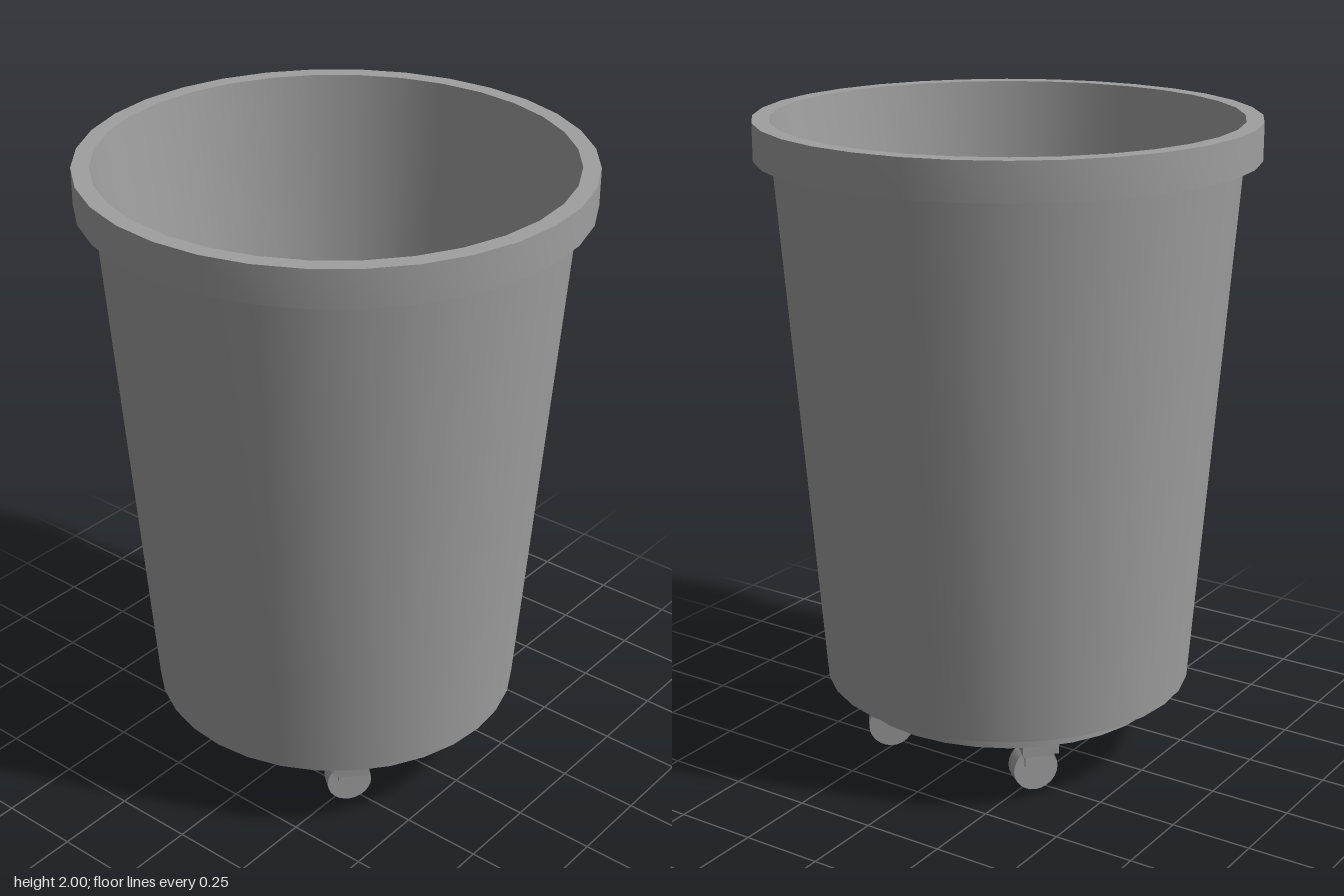
import * as THREE from 'three';
import { toCreasedNormals } from 'three/addons/utils/BufferGeometryUtils.js';

const material = new THREE.MeshStandardMaterial({ color: 0x9f9f9f });

function addMesh(parent, name, geometry, x = 0, y = 0, z = 0) {
  const mesh = new THREE.Mesh(geometry, material);
  mesh.name = name;
  mesh.position.set(x, y, z);
  parent.add(mesh);
}

// One caster; local x is the radial direction of its mounting plate
function createCaster(wheelTurn) {
  const caster = new THREE.Group();
  caster.name = 'caster';
  addMesh(caster, 'mountingPlate', new THREE.BoxGeometry(0.225, 0.035, 0.11), 0, 0.176, 0);
  addMesh(caster, 'swivelPlate', new THREE.BoxGeometry(0.165, 0.022, 0.095), 0, 0.149, 0);

  // Fork and wheel; the axle runs along local z
  const swivel = new THREE.Group();
  swivel.name = 'wheelAssembly';
  swivel.rotation.y = wheelTurn;
  caster.add(swivel);
  addMesh(swivel, 'forkCrown', new THREE.BoxGeometry(0.075, 0.012, 0.08), 0, 0.136, 0);
  for (const side of [-1, 1]) {
    addMesh(swivel, 'forkArm', new THREE.BoxGeometry(0.075, 0.056, 0.012), 0, 0.113, side * 0.034);
  }
  const wheel = new THREE.CylinderGeometry(0.07, 0.07, 0.055, 24).rotateX(Math.PI / 2);
  addMesh(swivel, 'wheel', wheel, 0, 0.07, 0);
  return caster;
}

export function createModel() {
  const model = new THREE.Group();
  model.name = 'wheeledBin';

  // Tapered bin: foot, outer wall, rim band, inner wall and floor
  const profile = [
    [0, 0.19], [0.503, 0.19], [0.503, 0.245], [0.574, 0.245],
    [0.698, 1.887], [0.752, 1.887], [0.752, 2], [0.7, 2],
    [0.48, 0.26], [0, 0.26],
  ].map(([x, y]) => new THREE.Vector2(x, y));
  addMesh(model, 'bin', toCreasedNormals(new THREE.LatheGeometry(profile, 32), 0.5));

  // Four casters with radial plates; all wheels roll nearly the same diagonal way
  for (let i = 0; i < 4; i++) {
    const angle = Math.PI / 4 + (i * Math.PI) / 2;
    const caster = createCaster(i % 2 ? -0.12 : Math.PI / 2 + 0.12);
    caster.position.set(0.27 * Math.SQRT2 * Math.cos(angle), 0, 0.27 * Math.SQRT2 * Math.sin(angle));
    caster.rotation.y = -angle;
    model.add(caster);
  }
  return model;
}
